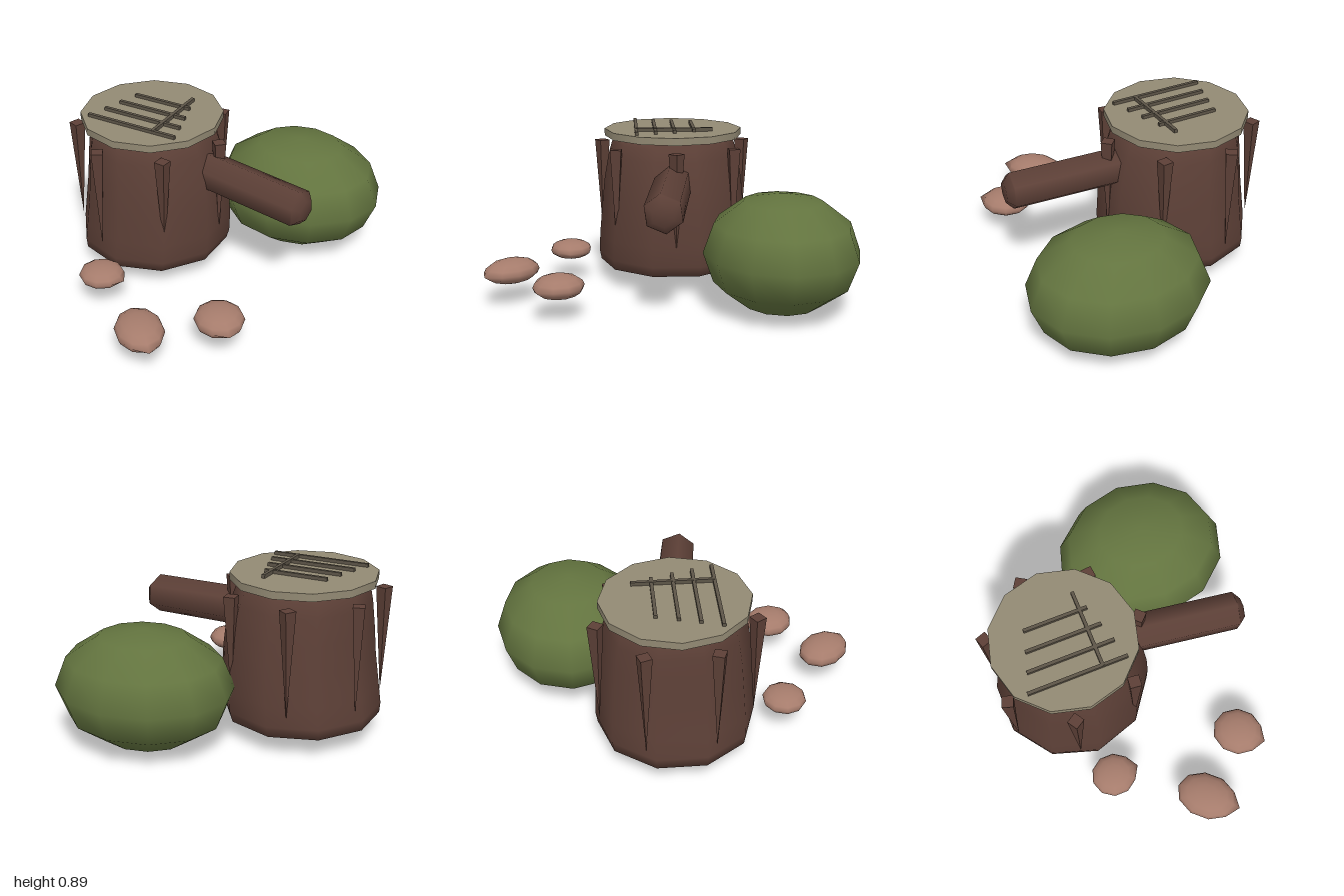
import * as THREE from 'three';

const mat = (name, color) => {
  const m = new THREE.MeshStandardMaterial({ color });
  m.name = name;
  return m;
};

export function createModel() {
  const bark = mat('bark brown', 0x5d4037);
  const wood = mat('cut wood', 0x938a74);
  const groove = mat('groove brown', 0x5d5548);
  const leaf = mat('leaf green', 0x63743f);
  const stoneMat = mat('stone pink', 0xa67c6c);

  const model = new THREE.Group();
  model.name = 'treeStump';
  const add = (parent, name, geo, material, x = 0, y = 0, z = 0) => {
    const mesh = new THREE.Mesh(geo, material);
    mesh.name = name;
    mesh.position.set(x, y, z);
    parent.add(mesh);
    return mesh;
  };
  const lathe = (pts, sides) =>
    new THREE.LatheGeometry(pts.map(([r, y]) => new THREE.Vector2(r, y)), sides);

  // Stump: everything here is centred on the trunk axis
  const stump = new THREE.Group();
  stump.name = 'stump';
  stump.position.set(-0.357, 0, -0.045);
  model.add(stump);

  // Trunk flares towards the base and bulges a little to its left
  const trunk = lathe([[0, 0.1], [0.36, 0.1], [0.415, 0.115], [0.425, 0.17], [0.42, 0.28],
    [0.405, 0.45], [0.39, 0.6], [0.365, 0.74], [0.345, 0.81], [0.32, 0.84], [0, 0.84]], 10);
  const p = trunk.attributes.position;
  for (let i = 0; i < p.count; i++) {
    const t = (p.getY(i) - 0.1) / 0.74;
    p.setX(i, p.getX(i) + 0.025 * Math.sin(Math.PI * t));
  }
  trunk.computeVertexNormals();
  // Rejoin the normals where the lathe closes
  const n = trunk.attributes.normal;
  const rows = 11;
  for (let j = 0; j < rows; j++) {
    const last = rows * 10 + j;
    const v = new THREE.Vector3().fromBufferAttribute(n, j)
      .add(new THREE.Vector3().fromBufferAttribute(n, last)).normalize();
    n.setXYZ(j, v.x, v.y, v.z);
    n.setXYZ(last, v.x, v.y, v.z);
  }
  add(stump, 'trunk', trunk, bark);

  // Cut top with its grooves
  add(stump, 'cutTop', new THREE.CylinderGeometry(0.387, 0.387, 0.04, 12), wood, 0, 0.86, 0);
  [[-0.53, -0.185, -0.155], [-0.56, -0.15, -0.045], [-0.59, -0.12, 0.06], [-0.625, -0.09, 0.165]]
    .forEach(([x0, x1, z]) =>
      add(model, 'groove', new THREE.BoxGeometry(x1 - x0, 0.018, 0.018), groove, (x0 + x1) / 2, 0.889, z));
  add(model, 'crossGroove', new THREE.BoxGeometry(0.018, 0.02, 0.43), groove, -0.225, 0.89, -0.045);

  // Seven tapering bark ridges around the trunk
  const ridge = new THREE.CylinderGeometry(0.043, 0, 0.58, 4).toNonIndexed();
  ridge.computeVertexNormals();
  for (let i = 0; i < 7; i++) {
    const a = (i / 7) * Math.PI * 2;
    const m = add(stump, 'barkRidge', ridge, bark, 0.413 * Math.cos(a), 0.51, 0.413 * Math.sin(a));
    m.rotation.y = -a;
  }

  // Hexagonal side branch with a bevelled end
  const from = new THREE.Vector3(-0.2, 0.636, -0.055);
  const to = new THREE.Vector3(0.615, 0.596, 0.052);
  const len = from.distanceTo(to);
  const branch = lathe([[0, 0], [0.105, 0], [0.105, len - 0.04], [0.1, len - 0.035],
    [0.06, len], [0, len]], 6);
  branch.rotateY(Math.PI / 6);
  const branchMesh = add(model, 'branch', branch, bark, from.x, from.y, from.z);
  branchMesh.quaternion.setFromUnitVectors(
    new THREE.Vector3(0, 1, 0), to.clone().sub(from).normalize());

  // Bush
  add(model, 'bush', new THREE.SphereGeometry(1, 12, 6), leaf, 0.29, 0.32, -0.585)
    .scale.set(0.48, 0.315, 0.415);

  // Flat stones, each pulled out to a point at one end
  const stone = new THREE.SphereGeometry(1, 10, 8);
  const s = stone.attributes.position;
  for (let i = 0; i < s.count; i++) {
    if (s.getX(i) > 0.97) s.setX(i, 1.15);
  }
  [[-0.33, 0.182, 0.545, 0.122, 0.053, 0.118, 0],
    [0.095, 0.18, 0.845, 0.165, 0.065, 0.125, -0.75],
    [0.4, 0.182, 0.577, 0.138, 0.063, 0.13, -0.75]]
    .forEach(([x, y, z, rx, ry, rz, turn]) => {
      const m = add(model, 'stone', stone, stoneMat, x, y, z);
      m.scale.set(rx, ry, rz);
      m.rotation.y = turn;
    });

  return model;
}
